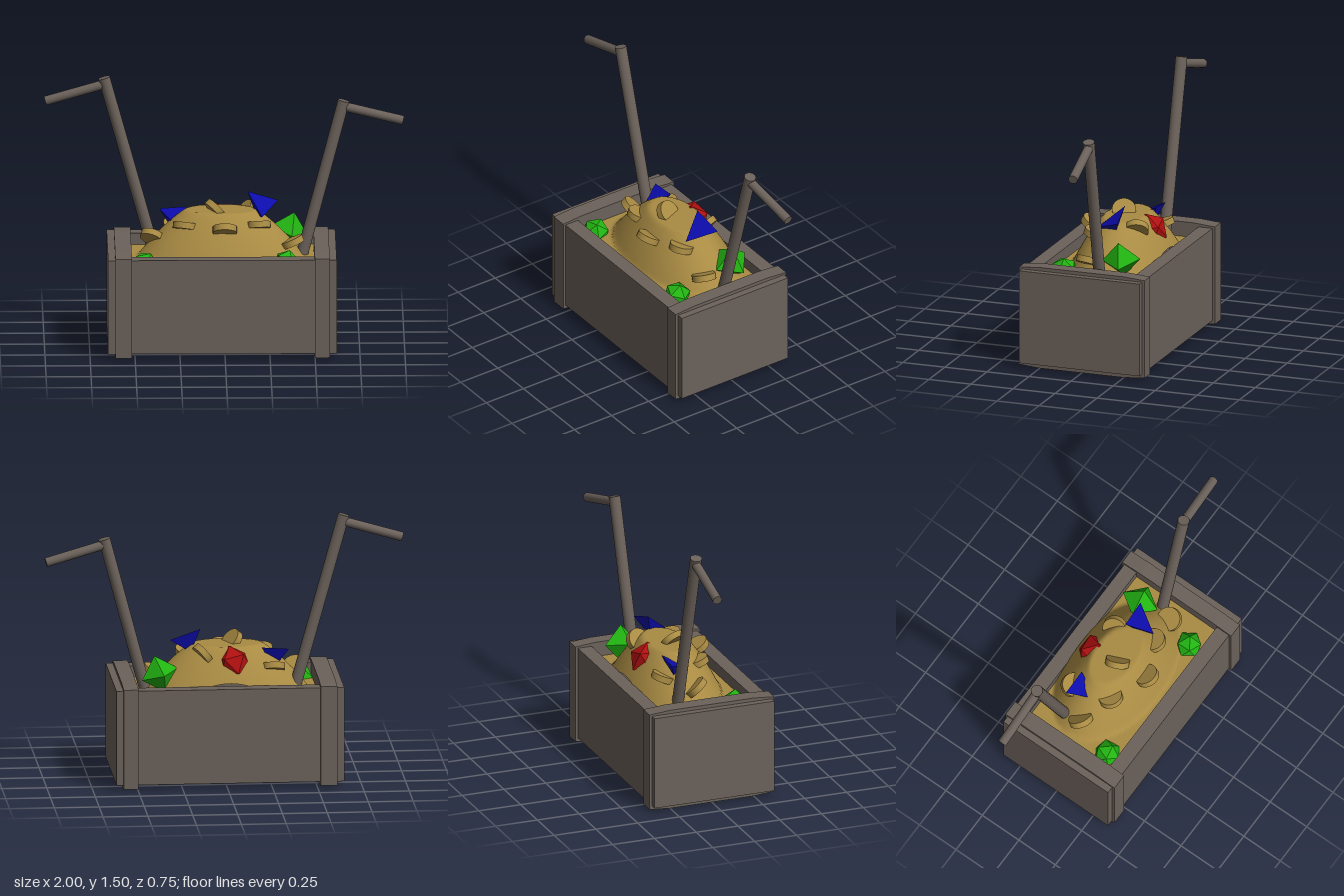
import * as THREE from 'three';
import { ConvexGeometry } from 'three/addons/geometries/ConvexGeometry.js';

const mat = (name, color) => {
  const m = new THREE.MeshStandardMaterial({ color });
  m.name = name;
  return m;
};

export function createModel() {
  const root = new THREE.Group();
  root.name = 'treasureCrate';
  const wood = mat('greyBrown wood', 0x6b615a);
  const gold = mat('gold', 0xa98b43);
  const red = mat('ruby red', 0xb01010);
  const green = mat('emerald green', 0x22b512);
  const blue = mat('sapphire blue', 0x0c0cab);

  const V = (p) => new THREE.Vector3(...p);
  const add = (name, geo, material, pos = [0, 0, 0]) => {
    const mesh = new THREE.Mesh(geo, material);
    mesh.name = name;
    mesh.position.set(...pos);
    root.add(mesh);
    return mesh;
  };
  // box given by its lower and upper corners
  const block = (name, a, b) => add(name,
    new THREE.BoxGeometry(b[0] - a[0], b[1] - a[1], b[2] - a[2]), wood,
    [(a[0] + b[0]) / 2, (a[1] + b[1]) / 2, (a[2] + b[2]) / 2]);
  // round bar between two points
  const bar = (name, a, b, r) => {
    const p = V(a), q = V(b), d = q.clone().sub(p);
    const mesh = add(name, new THREE.CylinderGeometry(r, r, d.length(), 20), wood);
    mesh.position.copy(p).add(q).multiplyScalar(0.5);
    mesh.quaternion.setFromUnitVectors(new THREE.Vector3(0, 1, 0), d.normalize());
  };

  // Crate: floor and four walls
  block('floor', [-0.65, 0.03, -0.358], [0.62, 0.1, 0.358]);
  block('frontWall', [-0.52, 0.1, 0.275], [0.5, 0.565, 0.358]);
  block('backWall', [-0.52, 0.1, -0.358], [0.5, 0.565, -0.275]);
  block('rightEnd', [-0.65, 0.1, -0.358], [-0.52, 0.565, 0.358]);
  block('leftEnd', [0.5, 0.1, -0.358], [0.62, 0.565, 0.358]);

  // Raised bands around both ends, slightly bowed at top and bottom
  const outline = new THREE.Shape([
    [-0.373, 0.01], [-0.25, 0], [0.25, 0], [0.373, 0.01],
    [0.373, 0.575], [0.25, 0.585], [-0.25, 0.585], [-0.373, 0.575],
  ].map(([x, y]) => new THREE.Vector2(x, y)));
  for (const [name, x, w] of [['rightBand', -0.61, 0.092], ['leftBand', 0.498, 0.083]]) {
    const geo = new THREE.ExtrudeGeometry(outline, { depth: w, bevelEnabled: false });
    geo.rotateY(Math.PI / 2);
    add(name, geo, wood, [x, 0, 0]);
  }

  // Gold heap: a sheet raised into a flat-topped mound
  const heap = new THREE.PlaneGeometry(1.03, 0.56, 60, 40).rotateX(-Math.PI / 2);
  const pos = heap.attributes.position;
  for (let i = 0; i < pos.count; i++) {
    const x = pos.getX(i) - 0.01, z = pos.getZ(i);
    const r = Math.hypot((x + 0.02) / 0.46, (z + 0.04) / 0.28);
    const t = Math.min(1, Math.max(0, (1 - r) / 0.57));
    pos.setXYZ(i, x, 0.5 + 0.26 * t * (1.3 - 0.3 * t), z);
  }
  heap.computeVertexNormals();
  add('goldHeap', heap, gold);

  // Coins stuck in the heap: centre and face direction
  const coins = [
    [[-0.40, 0.61, -0.01], [0.3, 0.72, -0.6]],
    [[-0.22, 0.69, 0.065], [0.12, 0.95, -0.3]],
    [[0, 0.69, 0.155], [0, 0.87, -0.5]],
    [[0.19, 0.695, 0.065], [-0.05, 0.95, -0.3]],
    [[0.375, 0.59, 0.04], [-0.4, 0.9, -0.1]],
    [[-0.05, 0.765, -0.01], [0.7, 0.65, -0.3]],
    [[0.12, 0.72, -0.15], [-0.75, 0.6, 0.25]],
    [[-0.27, 0.645, -0.155], [0, 0.92, 0.35]],
  ];
  const coinGeo = new THREE.CylinderGeometry(0.067, 0.067, 0.036, 24);
  coins.forEach(([p, n], i) => {
    const coin = add(`coin${i + 1}`, coinGeo, gold, p);
    coin.quaternion.setFromUnitVectors(new THREE.Vector3(0, 1, 0), V(n).normalize());
  });

  // Cut stones
  add('ruby', new THREE.IcosahedronGeometry(0.105, 0), red, [-0.05, 0.665, -0.16])
    .rotation.set(0.2, 0.4, 0.3);
  add('tallEmerald', new THREE.OctahedronGeometry(0.108, 0), green, [0.36, 0.612, -0.15])
    .rotation.set(0.1, 0.15, -0.3);
  add('rightEmerald', new THREE.IcosahedronGeometry(0.078, 0), green, [-0.445, 0.502, 0.205])
    .rotation.set(0.3, 0.2, 0.1);
  add('leftEmerald', new THREE.IcosahedronGeometry(0.077, 0), green, [0.34, 0.508, 0.198])
    .rotation.set(0.1, 0.6, 0.2);
  const sapphires = [
    [[-0.36, 0.74, -0.14], [-0.21, 0.75, -0.14], [-0.27, 0.68, 0.01], [-0.28, 0.62, -0.09]],
    [[0.13, 0.85, -0.085], [0.3, 0.795, -0.105], [0.21, 0.735, 0.05], [0.18, 0.71, -0.05]],
  ];
  sapphires.forEach((pts, i) => add(`sapphire${i + 1}`, new ConvexGeometry(pts.map(V)), blue));

  // Leaning poles with cross handles
  bar('rightPole', [-0.376, 0.45, -0.12], [-0.667, 1.495, -0.117], 0.033);
  bar('rightHandle', [-0.65, 1.462, -0.118], [-0.993, 1.363, -0.12], 0.026);
  bar('leftPole', [0.42, 0.45, -0.05], [0.664, 1.372, -0.072], 0.033);
  bar('leftHandle', [0.65, 1.342, -0.072], [0.992, 1.25, -0.103], 0.026);

  return root;
}
